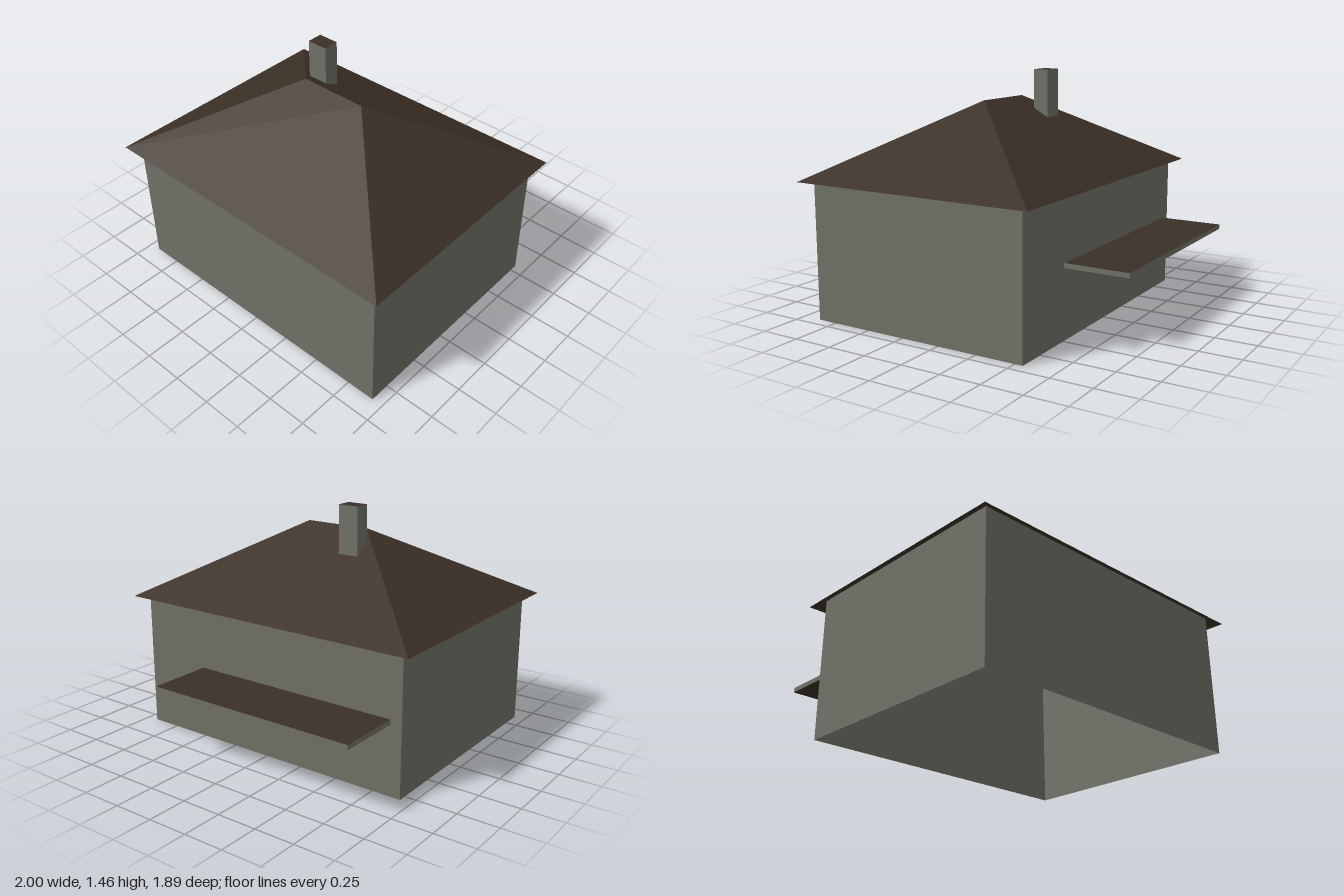
import * as THREE from 'three';

export function createModel() {
  const wallMat = new THREE.MeshStandardMaterial({ color: 0x6f7065, side: THREE.DoubleSide });
  wallMat.name = 'grey plaster';
  const roofMat = new THREE.MeshStandardMaterial({ color: 0x3c3026, side: THREE.DoubleSide });
  roofMat.name = 'dark brown roofing';

  const group = new THREE.Group();
  group.name = 'house';

  const add = (name, geometry, material) => {
    const mesh = new THREE.Mesh(geometry, material);
    mesh.name = name;
    group.add(mesh);
    return mesh;
  };

  // Flat-shaded surface from polygons given as lists of corners
  const faces = (polygons) => {
    const pos = [];
    for (const p of polygons)
      for (let i = 1; i < p.length - 1; i++) pos.push(...p[0], ...p[i], ...p[i + 1]);
    const g = new THREE.BufferGeometry();
    g.setAttribute('position', new THREE.Float32BufferAttribute(pos, 3));
    g.computeVertexNormals();
    return g;
  };

  // Corners of a level rectangle, counter-clockwise from above
  const ring = (x0, x1, z0, z1, y) => [[x0, y, z1], [x1, y, z1], [x1, y, z0], [x0, y, z0]];

  // Four upright sides between two rings
  const sides = (lo, hi) => faces(lo.map((p, i) => [p, lo[(i + 1) % 4], hi[(i + 1) % 4], hi[i]]));

  // Walls, open below and reaching up to the roof's underside
  const wall = [-0.93, 0.93, -0.55, 0.875];
  add('walls', sides(ring(...wall, 0), ring(...wall, 0.879)), wallMat);

  // Hipped roof, an open shell with a short ridge
  const [a, b, c, d] = ring(-1, 1, -0.62, 0.945, 0.84);
  const ridgeL = [-0.215, 1.29, 0.1625], ridgeR = [0.215, 1.29, 0.1625];
  add('roof', faces([
    [a, b, ridgeR, ridgeL],
    [b, c, ridgeR],
    [c, d, ridgeL, ridgeR],
    [d, a, ridgeL],
  ]), roofMat);

  // Box with grey sides and brown top and bottom
  const slab = (name, x0, x1, y0, y1, z0, z1) => {
    const mats = [wallMat, wallMat, roofMat, roofMat, wallMat, wallMat];
    add(name, new THREE.BoxGeometry(x1 - x0, y1 - y0, z1 - z0), mats)
      .position.set((x0 + x1) / 2, (y0 + y1) / 2, (z0 + z1) / 2);
  };
  slab('chimney', -0.297, -0.165, 1.15, 1.46, -0.055, 0.043);
  slab('backCanopy', -0.86, 0.495, 0.423, 0.452, -0.948, -0.55);

  return group;
}
